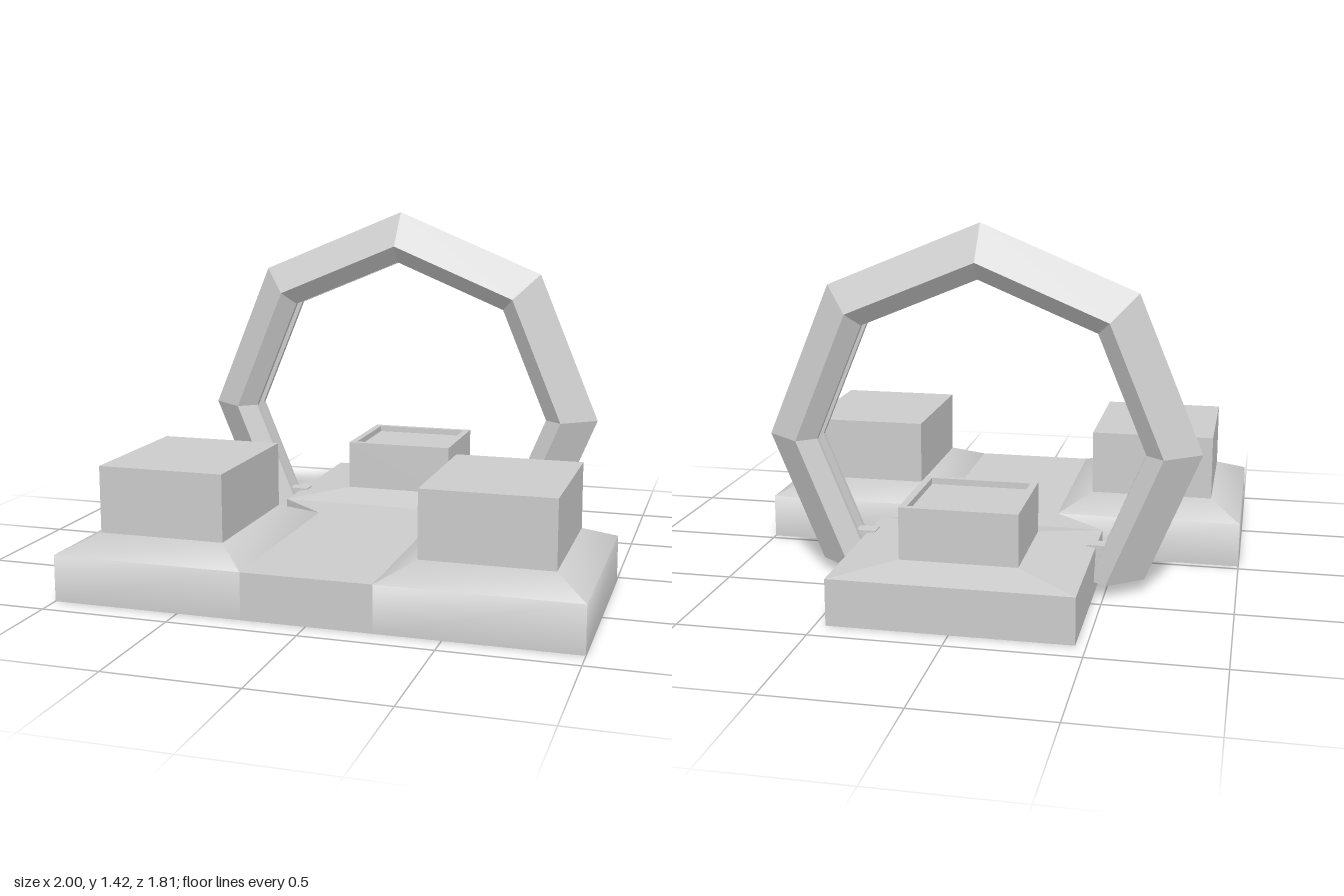
import * as THREE from 'three';
import { toCreasedNormals } from 'three/addons/utils/BufferGeometryUtils.js';

const grey = new THREE.MeshStandardMaterial({ color: 0xcccccc });
const greyFlat = new THREE.MeshStandardMaterial({ color: 0xcccccc, flatShading: true, side: THREE.DoubleSide });

function add(parent, name, geometry, material = grey) {
  const mesh = new THREE.Mesh(geometry, material);
  mesh.name = name;
  parent.add(mesh);
  return mesh;
}

// Box given by its limits on each axis
function boxBetween(x0, x1, y0, y1, z0, z1) {
  return new THREE.BoxGeometry(x1 - x0, y1 - y0, z1 - z0)
    .translate((x0 + x1) / 2, (y0 + y1) / 2, (z0 + z1) / 2);
}

// Upright prism from an outline of [x, z] points, with an optional hole
function prism(outline, y0, y1, hole) {
  const toPoints = (list) => list.map(([x, z]) => new THREE.Vector2(x, -z));
  const shape = new THREE.Shape(toPoints(outline));
  if (hole) shape.holes.push(new THREE.Path(toPoints(hole)));
  return new THREE.ExtrudeGeometry(shape, { depth: y1 - y0, bevelEnabled: false })
    .rotateX(-Math.PI / 2).translate(0, y0, 0);
}

const rect = (x0, x1, z0, z1) => [[x0, z1], [x1, z1], [x1, z0], [x0, z0]];

// Stack of rectangles [y, halfWidth, halfDepth], closed at both ends
function rectLoft(levels, crease) {
  const pos = [], index = [];
  for (const [y, w, d] of levels) pos.push(-w, y, d, w, y, d, w, y, -d, -w, y, -d);
  for (let i = 0; i < levels.length - 1; i++) {
    for (let j = 0; j < 4; j++) {
      const a = i * 4 + j, b = i * 4 + (j + 1) % 4;
      index.push(a, b, b + 4, a, b + 4, a + 4);
    }
  }
  const t = (levels.length - 1) * 4;
  index.push(0, 2, 1, 0, 3, 2, t, t + 1, t + 2, t, t + 2, t + 3);
  const geo = new THREE.BufferGeometry();
  geo.setAttribute('position', new THREE.Float32BufferAttribute(pos, 3));
  geo.setIndex(index);
  return toCreasedNormals(geo, crease);
}

// Octagonal arch: a grooved section swept in 45 degree steps, feet cut level
function archGeometry() {
  const centreY = 0.565, z0 = -0.343, footY = 0.055;
  const section = [[0, 0.86], [0.108, 0.72], [0.05, 0.65], [0.03, 0.65], [0.03, 0.68],
    [-0.03, 0.68], [-0.03, 0.65], [-0.05, 0.65], [-0.108, 0.72]];
  const n = section.length, steps = 6, pos = [], index = [];
  for (let i = 0; i <= steps; i++) {
    const angle = (i - 1) * Math.PI / 4;
    for (const [dz, r] of section) {
      let x = r * Math.cos(angle), y = centreY + r * Math.sin(angle);
      if (i === 0 || i === steps) {
        // run along the lowest side until it reaches foot height
        const t = (centreY - footY) / (r * Math.SQRT1_2);
        x = Math.sign(x) * r * (1 - (1 - Math.SQRT1_2) * t);
        y = footY;
      }
      pos.push(x, y, z0 + dz);
    }
  }
  for (let i = 0; i < steps; i++) {
    for (let j = 0; j < n; j++) {
      const a = i * n + j, b = i * n + (j + 1) % n;
      index.push(a, a + n, b, b, a + n, b + n);
    }
  }
  const outline = section.map(([z, r]) => new THREE.Vector2(z, r));
  for (const [a, b, c] of THREE.ShapeUtils.triangulateShape(outline, [])) {
    const e = steps * n;
    index.push(a, b, c, e + a, e + c, e + b);
  }
  const geo = new THREE.BufferGeometry();
  geo.setAttribute('position', new THREE.Float32BufferAttribute(pos, 3));
  geo.setIndex(index);
  geo.computeVertexNormals();
  return geo;
}

export function createModel() {
  const model = new THREE.Group();
  model.name = 'archedPlatform';

  // Central floor slab with a narrow waist
  add(model, 'floorSlab', prism([
    [-0.25, 0.905], [0.25, 0.905], [0.25, 0.03], [0.46, -0.15],
    [0.46, -0.905], [-0.46, -0.905], [-0.46, -0.15], [-0.25, 0.03],
  ], 0, 0.18));

  // Two front podiums with sloped shoulders and a block on each
  for (const side of [1, -1]) {
    const podium = new THREE.Group();
    podium.name = side > 0 ? 'leftPodium' : 'rightPodium';
    podium.position.set(side * 0.625, 0, 0.4675);
    model.add(podium);
    add(podium, 'podiumBase', rectLoft([[0, 0.375, 0.4375], [0.18, 0.375, 0.4375], [0.24, 0.25, 0.295]], 1.3));
    add(podium, 'podiumBlock', boxBetween(-0.25, 0.25, 0.235, 0.5, -0.295, 0.295));
  }

  // Rear plinth: shallow slope, block with rim and sunken top
  const rear = new THREE.Group();
  rear.name = 'rearPlinth';
  rear.position.z = -0.5275;
  model.add(rear);
  add(rear, 'plinthSlope', rectLoft([[0.175, 0.46, 0.3775], [0.18, 0.46, 0.3775], [0.213, 0.225, 0.2125]], 0.1));
  add(rear, 'plinthRim', prism(rect(-0.225, 0.225, -0.2125, 0.2125), 0.205, 0.415,
    rect(-0.197, 0.197, -0.187, 0.187)));
  add(rear, 'plinthTop', boxBetween(-0.197, 0.197, 0.205, 0.39, -0.187, 0.187));

  // Arch and the pegs joining its feet to the slab
  add(model, 'arch', archGeometry(), greyFlat);
  for (const side of [1, -1]) {
    const peg = add(model, 'archPeg', boxBetween(-0.04, 0.04, 0.045, 0.19, -0.03, 0.03));
    peg.position.set(side * 0.465, 0, -0.343);
  }
  return model;
}
